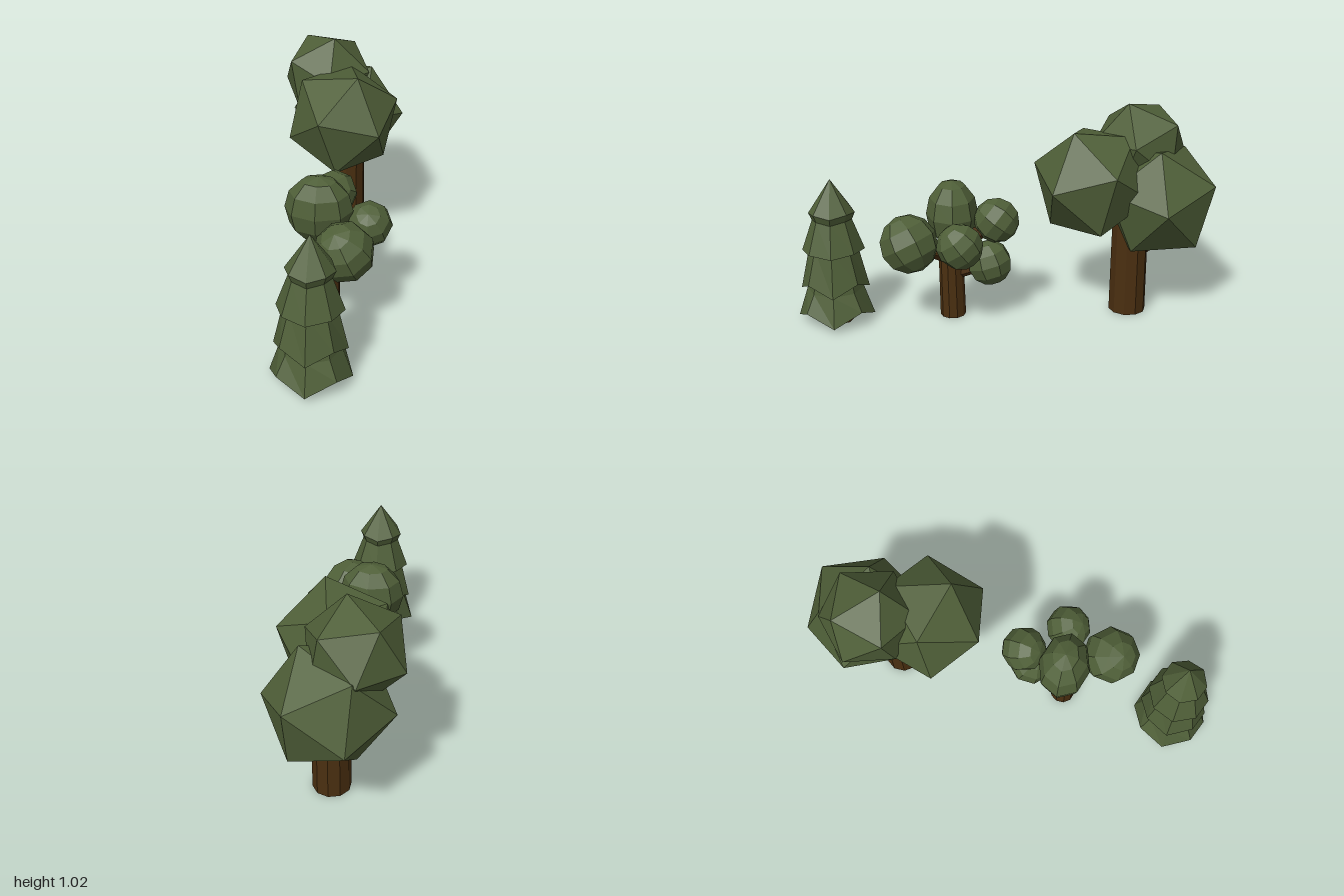
import * as THREE from 'three';

const v = (a) => new THREE.Vector3(...a);

export function createModel() {
  const leaf = new THREE.MeshStandardMaterial({ color: 0x4f5f38, flatShading: true });
  leaf.name = 'leaf green';
  const bark = new THREE.MeshStandardMaterial({ color: 0x4a2f10, flatShading: true });
  bark.name = 'bark brown';

  const model = new THREE.Group();
  model.name = 'trees';
  const group = (name) => {
    const g = new THREE.Group();
    g.name = name;
    model.add(g);
    return g;
  };
  const add = (parent, name, geometry, material) => {
    const mesh = new THREE.Mesh(geometry, material);
    mesh.name = name;
    parent.add(mesh);
    return mesh;
  };

  // Tapered wooden limb between two points
  const limb = (parent, name, from, to, r0, r1, sides) => {
    const a = v(from), b = v(to), d = b.clone().sub(a);
    const mesh = add(parent, name, new THREE.CylinderGeometry(r1, r0, d.length(), sides), bark);
    mesh.position.copy(a).addScaledVector(d, 0.5);
    mesh.quaternion.setFromUnitVectors(new THREE.Vector3(0, 1, 0), d.normalize());
    return mesh;
  };

  // Twenty-sided crown turned so two neighbouring corners point at a and b
  const crown = (parent, name, centre, radius, a, b) => {
    const c = v(centre);
    const da = v(a).sub(c).normalize(), db = v(b).sub(c).normalize();
    const y = da.clone().add(db).normalize();
    const x = db.clone().sub(da).normalize();
    const z = x.clone().cross(y);
    const mesh = add(parent, name, new THREE.IcosahedronGeometry(radius, 0), leaf);
    mesh.quaternion.setFromRotationMatrix(new THREE.Matrix4().makeBasis(x, y, z));
    mesh.position.copy(c);
  };

  // Pine: eight-sided tiers; every other hem corner is lifted
  const pine = group('pineTree');
  pine.position.set(0.02, 0, 0.817);
  const profile = [ // radius, height, corner lift
    [0, 0.1, 0], [0.085, 0.1, 0], [0.183, 0.02, 0.06],
    [0.135, 0.165, 0], [0.118, 0.24, 0], [0.163, 0.165, 0.055],
    [0.112, 0.385, 0], [0.148, 0.36, 0.01],
    [0.094, 0.51, 0.01], [0.109, 0.545, 0.012], [0, 0.71, 0],
  ];
  const tiers = new THREE.LatheGeometry(profile.map(([r, y]) => new THREE.Vector2(r, y)), 8);
  const pos = tiers.attributes.position;
  for (let i = 0; i < pos.count; i++) {
    const side = Math.floor(i / profile.length);
    if (side % 2) pos.setY(i, pos.getY(i) + profile[i % profile.length][2]);
  }
  add(pine, 'pineTiers', tiers.toNonIndexed(), leaf);
  // Hollow stump, seen from inside and outside
  const stump = [[0.07, 0.12], [0.07, 0], [0.088, 0], [0.088, 0.12]];
  add(pine, 'pineStump',
    new THREE.LatheGeometry(stump.map(([r, y]) => new THREE.Vector2(r, y)), 8), bark);

  // Branching tree with rounded leaf clusters
  const mid = group('branchingTree');
  limb(mid, 'branchingTrunk', [0.01, 0, 0.253], [0.01, 0.45, 0.262], 0.062, 0.058, 10);
  const clusters = [ // centre, radii, branch start height (0 = none)
    [[-0.03, 0.51, 0.25], [0.16, 0.165, 0.125], 0],
    [[0.115, 0.415, 0.455], [0.14, 0.14, 0.14], 0.3],
    [[0.015, 0.485, 0.04], [0.11, 0.11, 0.11], 0.33],
    [[0.03, 0.275, 0.075], [0.11, 0.11, 0.11], 0.22],
    [[0.2, 0.43, 0.22], [0.11, 0.11, 0.11], 0.33],
  ];
  clusters.forEach(([c, r, h], i) => {
    const blob = add(mid, 'leafCluster', new THREE.SphereGeometry(1, 8, 6), leaf);
    blob.position.set(...c);
    blob.scale.set(...r);
    blob.rotation.set(0.35 * (i % 3), 0.4 * i, i ? 0.3 : 0);
    if (h) limb(mid, 'branch', [0.01, h, 0.255], c, 0.038, 0.032, 7);
  });

  // Large tree with three faceted crowns
  const big = group('largeTree');
  limb(big, 'largeTrunk', [0, 0, -0.608], [0, 0.6, -0.608], 0.09, 0.086, 10);
  limb(big, 'largeBranch', [0, 0.29, -0.62], [-0.02, 0.44, -0.83], 0.04, 0.035, 7);
  crown(big, 'frontCrown', [-0.004, 0.667, -0.415], 0.29,
    [-0.095, 0.74, -0.14], [-0.27, 0.575, -0.34]);
  crown(big, 'rearCrown', [-0.02, 0.567, -0.742], 0.295,
    [0.275, 0.575, -0.73], [0.11, 0.84, -0.72]);
  crown(big, 'topCrown', [-0.12, 0.8, -0.66], 0.238,
    [-0.05, 0.99, -0.57], [-0.265, 0.945, -0.8]);

  return model;
}
